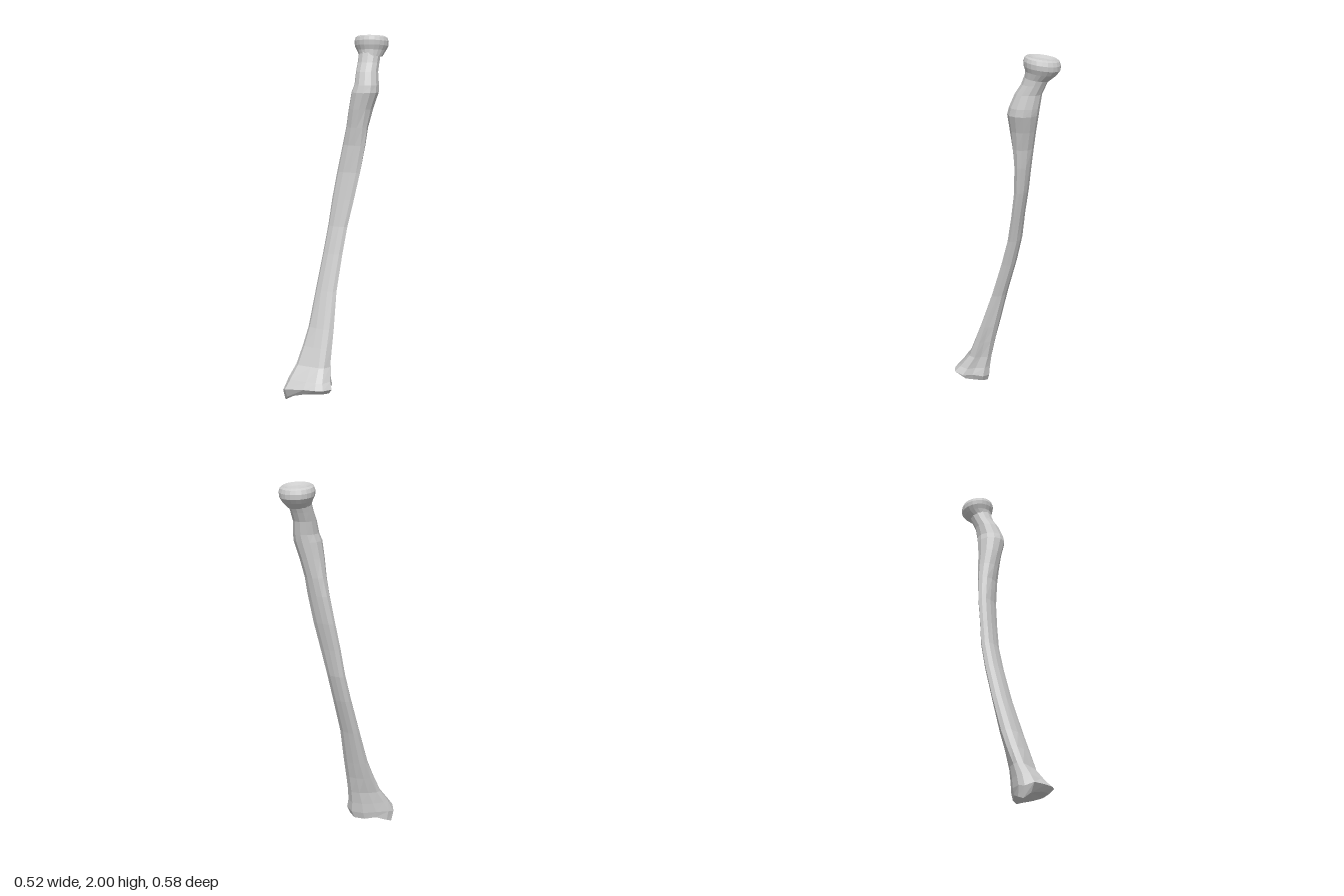
import * as THREE from 'three';

// Outlines in a -1..1 square, listed from +x round towards +z
const wristOutline = [[.86, -.05], [1, .5], [.7, .97], [.4, 1], [-.07, .83], [-.86, .53],
  [-1, .1], [-.86, -.27], [-.43, -.72], [.07, -1], [.57, -1], [.86, -.67]];
const shaftOutline = [[.95, .3], [1, .7], [.7, 1], [.2, .93], [-.4, .7], [-.85, .25],
  [-1, -.3], [-.95, -.8], [-.6, -1], [-.1, -.93], [.45, -.7], [.85, -.25]];
const circle = (n) => Array.from({ length: n }, (_, i) => {
  const a = (i / n) * Math.PI * 2;
  return [Math.cos(a), Math.sin(a)];
});
const outlines = [wristOutline, shaftOutline, circle(12)];

// Blend between neighbouring outlines: 0 wrist, 1 shaft, 2 round
function blend(t) {
  const k = Math.min(1, Math.floor(t));
  return outlines[k].map(([x, z], i) => [
    THREE.MathUtils.lerp(x, outlines[k + 1][i][0], t - k),
    THREE.MathUtils.lerp(z, outlines[k + 1][i][1], t - k),
  ]);
}

// Fit an outline into the given x and z limits; y is a number or one height per point
function ring(outline, y, x0, x1, z0, z1) {
  return outline.map(([u, v], i) => new THREE.Vector3(
    (x0 + x1) / 2 + u * (x1 - x0) / 2,
    Array.isArray(y) ? y[i] : y,
    (z0 + z1) / 2 + v * (z1 - z0) / 2));
}

// Skin rings from bottom to top, with optional centre points closing the ends
function loft(name, material, rings, bottom, top) {
  const pos = [];
  const tri = (...pts) => pts.forEach((p) => pos.push(p.x, p.y, p.z));
  const n = rings[0].length;
  for (let i = 0; i < n; i++) {
    const k = (i + 1) % n;
    for (let j = 0; j < rings.length - 1; j++) {
      const a = rings[j][i], b = rings[j][k], c = rings[j + 1][i], d = rings[j + 1][k];
      tri(a, c, b);
      tri(b, c, d);
    }
    const last = rings[rings.length - 1];
    if (bottom) tri(bottom, rings[0][i], rings[0][k]);
    if (top) tri(top, last[k], last[i]);
  }
  const geometry = new THREE.BufferGeometry();
  geometry.setAttribute('position', new THREE.Float32BufferAttribute(pos, 3));
  geometry.computeVertexNormals();
  const mesh = new THREE.Mesh(geometry, material);
  mesh.name = name;
  return mesh;
}

export function createModel() {
  const group = new THREE.Group();
  group.name = 'forearmBone';
  const bone = new THREE.MeshStandardMaterial({ color: 0xcccccc, flatShading: true });
  bone.name = 'boneGrey';

  // Shaft sections: y, x limits, z limits, outline blend
  const sections = [
    [0.2, -.195, 0, .07, .2, 0],
    [0.3, -.165, .005, .045, .165, .4],
    [0.4, -.14, .01, .02, .13, .7],
    [0.6, -.11, .015, -.025, .065, 1],
    [0.8, -.078, .038, -.075, .01, 1],
    [0.95, -.055, .06, -.105, -.025, 1],
    [1.1, -.035, .093, -.12, -.045, 1],
    [1.25, -.01, .125, -.14, -.06, 1.1],
    [1.4, .02, .152, -.155, -.06, 1.3],
    [1.5, .04, .165, -.165, -.05, 1.6],
    [1.6, .055, .19, -.175, -.037, 2],
    [1.69, .07, .22, -.187, -.024, 2],
    [1.73, .085, .22, -.192, -.033, 2],
    [1.8, .09, .212, -.203, -.063, 2],
    [1.85, .095, .215, -.225, -.095, 2],
    [1.92, .1, .222, -.26, -.12, 2],
  ];
  const shaftRings = sections.map(([y, x0, x1, z0, z1, t]) => ring(blend(t), y, x0, x1, z0, z1));
  group.add(loft('shaft', bone, shaftRings));

  // Flared lower end with a pointed outer corner and a hollow joint face
  const lip = [.05, .065, .07, .07, .06, .03, 0, .015, .04, .03, .03, .045];
  const rim = [.09, .095, .1, .1, .095, .08, .06, .07, .075, .07, .07, .08];
  const wristRings = [
    ring(wristOutline, lip, -.25, .003, .095, .26),
    ring(wristOutline, rim, -.26, .022, .085, .288),
    ring(wristOutline, .13, -.232, .008, .08, .255),
    shaftRings[0],
  ];
  group.add(loft('wristEnd', bone, wristRings, new THREE.Vector3(-.11, .07, .18)));

  // Round head, tilted forward, with a shallow dish on top: y, radius, z centre
  const headProfile = [[1.875, .062, -.175], [1.91, .08, -.195], [1.935, .093, -.2],
    [1.96, .095, -.2], [1.98, .088, -.2], [1.988, .076, -.2], [1.975, .05, -.2]];
  const headRings = headProfile.map(([y, r, z]) => {
    const points = ring(circle(20), y, .165 - r, .165 + r, z - r, z + r);
    points.forEach((p) => { p.y += .13 * (p.z + .2); });
    return points;
  });
  group.add(loft('head', bone, headRings, null, new THREE.Vector3(.165, 1.97, -.2)));

  return group;
}
